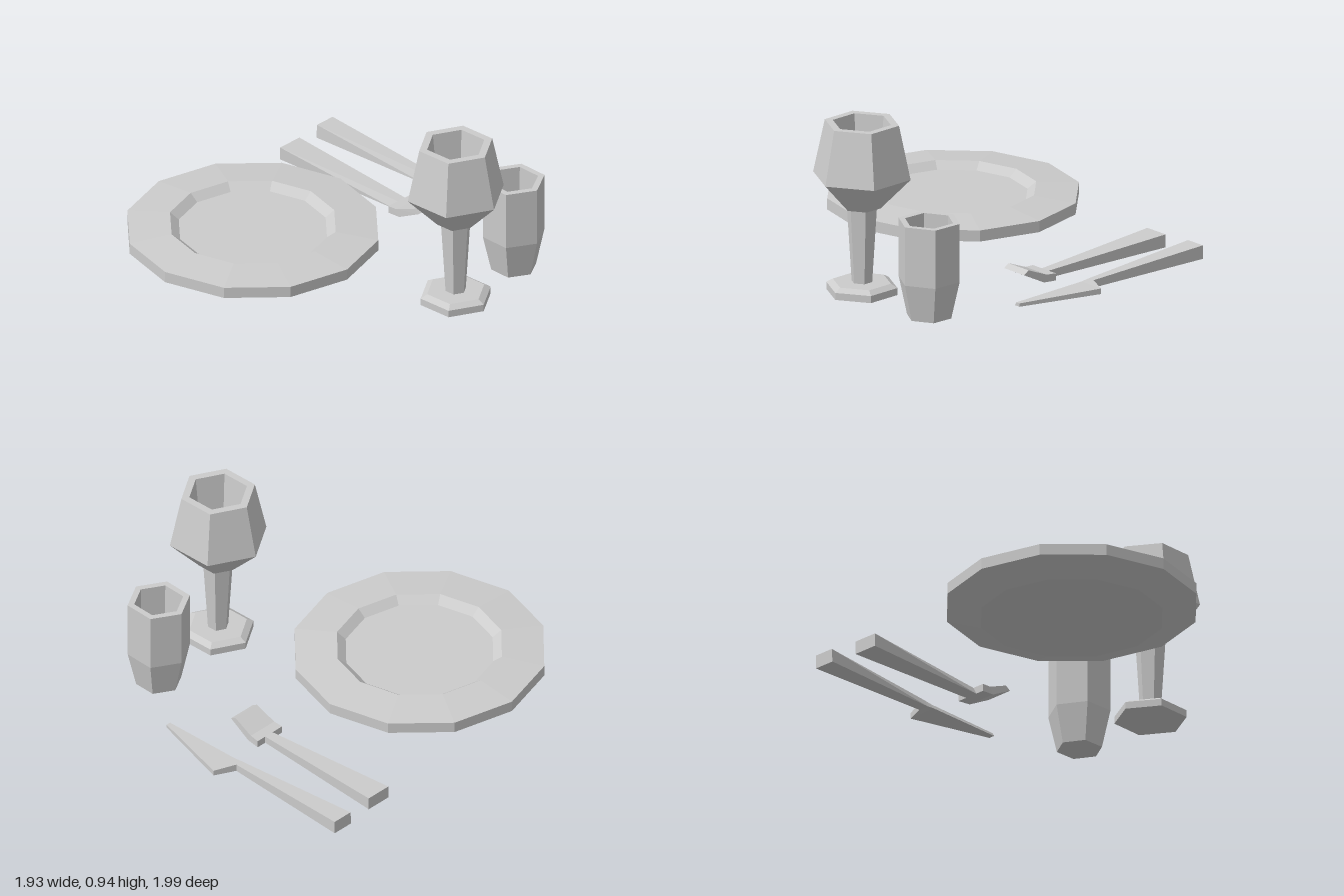
import * as THREE from 'three';

const material = new THREE.MeshStandardMaterial({ color: 0xcccccc, flatShading: true });

function addMesh(group, name, geometry) {
  const mesh = new THREE.Mesh(geometry, material);
  mesh.name = name;
  group.add(mesh);
  return mesh;
}

// Faceted turned vessel: profile runs from the underside, up the outside, down the inside.
function turned(profile, sides, startAngle) {
  const points = profile.map(([r, y]) => new THREE.Vector2(r, y));
  return new THREE.LatheGeometry(points, sides, startAngle);
}

// Bar lofted along x; each section is [xBottom, xTop, yBottom, yTop, zBack, zFront, flare],
// where flare pushes the lower front edge outward.
function bar(sections) {
  const loops = sections.map(([xb, xt, yb, yt, z0, z1, flare]) => [
    [xb, yb, z0], [xt, yt, z0], [xt, yt, z1], [xb, yb, z1 + flare],
  ]);
  const positions = [];
  const quad = (a, b, c, d) => positions.push(...a, ...b, ...c, ...a, ...c, ...d);
  for (let s = 0; s < loops.length - 1; s++) {
    for (let i = 0; i < 4; i++) {
      const j = (i + 1) % 4;
      quad(loops[s][i], loops[s][j], loops[s + 1][j], loops[s + 1][i]);
    }
  }
  const first = loops[0], last = loops[loops.length - 1];
  quad(first[3], first[2], first[1], first[0]);
  quad(...last);
  const geometry = new THREE.BufferGeometry();
  geometry.setAttribute('position', new THREE.Float32BufferAttribute(positions, 3));
  geometry.computeVertexNormals();
  return geometry;
}

export function createModel() {
  const group = new THREE.Group();
  group.name = 'tableSetting';

  // Twelve-sided plate with a raised rim and sunken well
  const plate = addMesh(group, 'plate', turned([
    [0, 0.12], [0.48, 0.12], [0.66, 0.178], [0.66, 0.238],
    [0.436, 0.257], [0.39, 0.22], [0, 0.22],
  ], 12, 0.015));
  plate.position.set(-0.31, 0, 0.335);
  plate.rotation.x = -0.006;

  // Six-sided goblet: foot, stem and hollow bowl
  const goblet = addMesh(group, 'goblet', turned([
    [0, 0.022], [0.19, 0.022], [0.19, 0.06], [0.155, 0.08], [0.055, 0.08],
    [0.08, 0.48], [0.1, 0.482], [0.26, 0.65], [0.198, 0.937],
    [0.155, 0.937], [0.13, 0.7], [0.06, 0.54], [0, 0.54],
  ], 6, Math.PI / 6 + 0.05));
  goblet.position.set(0.703, 0, -0.113);

  // Six-sided tumbler, tapering at the foot
  const tumbler = addMesh(group, 'tumbler', turned([
    [0, 0], [0.12, 0], [0.165, 0.2], [0.165, 0.515],
    [0.13, 0.515], [0.125, 0.2], [0.1, 0.07], [0, 0.07],
  ], 6, Math.PI / 6));
  tumbler.position.set(0.66, 0, -0.587);

  // Fork: tapering handle and an upturned head
  addMesh(group, 'fork', bar([
    [-0.91, -0.91, 0.04, 0.11, -0.635, -0.493, 0],
    [-0.135, -0.135, 0.038, 0.077, -0.61, -0.557, 0.02],
    [-0.135, -0.135, 0.038, 0.077, -0.665, -0.488, 0],
    [-0.06, -0.08, 0.042, 0.08, -0.66, -0.49, 0],
    [0.07, 0.04, 0.108, 0.128, -0.653, -0.497, 0],
  ]));

  // Knife: tapering handle, stepped heel and pointed blade
  addMesh(group, 'knife', bar([
    [-0.93, -0.93, 0.04, 0.113, -0.902, -0.787, 0.005],
    [-0.2, -0.2, 0.04, 0.08, -0.885, -0.845, 0.02],
    [-0.15, -0.15, 0.045, 0.075, -1, -0.848, 0.02],
    [0.305, 0.305, 0.047, 0.065, -0.885, -0.86, 0.01],
  ]));

  return group;
}
